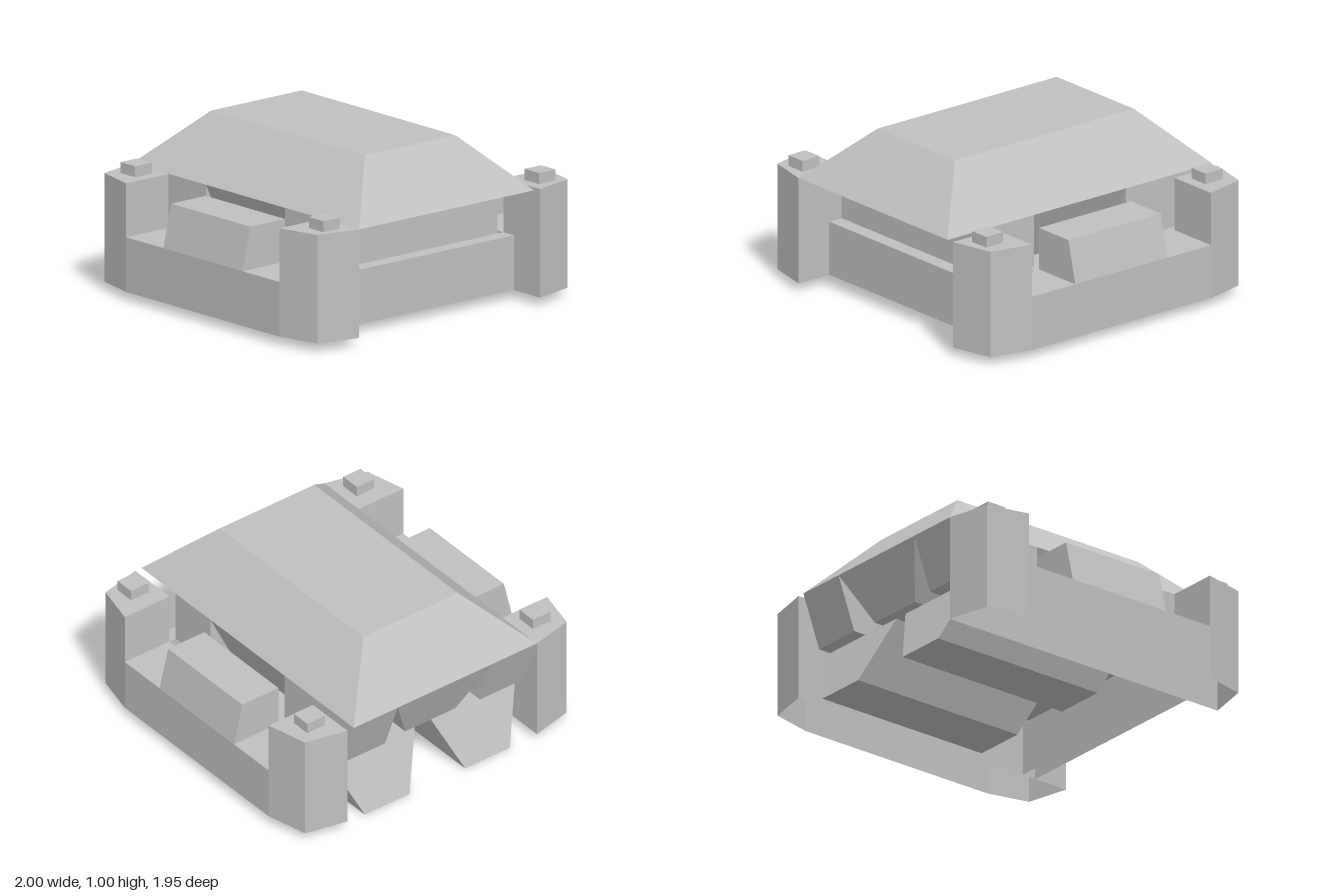
import * as THREE from 'three';

const grey = new THREE.MeshStandardMaterial({ color: 0xc0c0c0, flatShading: true, side: THREE.DoubleSide });
grey.name = 'concreteGrey';

function add(group, name, geometry) {
  const mesh = new THREE.Mesh(geometry, grey);
  mesh.name = name;
  group.add(mesh);
  return mesh;
}

// Tapered block; bottom and top are [x0, x1, z0, z1]
function taper(y0, bottom, y1, top) {
  const g = new THREE.BoxGeometry(1, 1, 1).toNonIndexed();
  const p = g.attributes.position;
  for (let i = 0; i < p.count; i++) {
    const up = p.getY(i) > 0;
    const r = up ? top : bottom;
    p.setXYZ(i, p.getX(i) < 0 ? r[0] : r[1], up ? y1 : y0, p.getZ(i) < 0 ? r[2] : r[3]);
  }
  g.computeVertexNormals();
  return g;
}

// Upright shell with a convex [x, z] outline, closed on top and open below
function shell(outline, y0, y1) {
  let pts = outline.map(([x, z]) => new THREE.Vector2(x, z));
  if (THREE.ShapeUtils.area(pts) > 0) pts = pts.reverse();
  const v = [];
  const n = pts.length;
  for (let i = 0; i < n; i++) {
    const a = pts[i], b = pts[(i + 1) % n];
    v.push(a.x, y0, a.y, b.x, y0, b.y, b.x, y1, b.y);
    v.push(a.x, y0, a.y, b.x, y1, b.y, a.x, y1, a.y);
    if (i > 0 && i < n - 1) v.push(pts[0].x, y1, pts[0].y, a.x, y1, a.y, b.x, y1, b.y);
  }
  const g = new THREE.BufferGeometry();
  g.setAttribute('position', new THREE.Float32BufferAttribute(v, 3));
  g.computeVertexNormals();
  return g;
}

export function createModel() {
  const model = new THREE.Group();
  model.name = 'bunker';

  // Sloped roof
  const rim = [-0.68, 0.635, -0.975, 0.975];
  add(model, 'roof', taper(0.685, rim, 1, [-0.36, 0.32, -0.66, 0.66]));

  // Upper body below the roof: straight front, undercut sides and back
  const low = 0.37, high = 0.685;
  const front = [-0.68, 0.635, 0.34, 0.66];
  add(model, 'frontBody', taper(low, front, high, front));
  add(model, 'middleBody', taper(low, [-0.53, 0.48, -0.34, 0.34], high, [-0.68, 0.635, -0.34, 0.34]));
  add(model, 'rearBody', taper(low, [-0.2, 0.16, -0.84, -0.34], high, [-0.36, 0.32, -0.975, -0.34]));
  add(model, 'rearLeftBody', taper(low, [0.32, 0.635, -0.86, -0.34], high, [0.32, 0.635, -0.975, -0.34]));
  add(model, 'rearRightBody', taper(low, [-0.68, -0.36, -0.86, -0.34], high, [-0.68, -0.36, -0.975, -0.34]));

  // Low front wall
  add(model, 'frontWall', shell([[-0.68, 0.66], [0.68, 0.66], [0.68, 0.75], [-0.68, 0.75]], 0.05, low));

  for (const s of [-1, 1]) {
    const side = s > 0 ? 'left' : 'right';
    const x = (a, b) => (s > 0 ? [a, b] : [-b, -a]);

    // Low side wall with chamfered ends
    const wall = [[0.68, 0.975], [0.94, 0.915], [1, 0.66], [1, -0.66], [0.94, -0.915], [0.68, -0.975]];
    add(model, side + 'Wall', shell(wall.map(([a, z]) => [a * s, z]), 0.05, low));

    // Sloped block on the wall
    add(model, side + 'WallBlock',
      taper(low, [...x(0.68, 1), -0.34, 0.34], 0.62, [...x(0.68, 0.94), -0.34, 0.34]));

    // Corner towers with a small stud on each
    for (const e of [-1, 1]) {
      const corner = (e > 0 ? 'front' : 'rear') + (s > 0 ? 'Left' : 'Right');
      const tower = [[0.68, 0.975], [0.94, 0.915], [1, 0.66], [0.68, 0.66]];
      add(model, corner + 'Tower', shell(tower.map(([a, z]) => [a * s, z * e]), low, high));
      const stud = add(model, corner + 'Stud', new THREE.BoxGeometry(0.125, 0.065, 0.125));
      stud.position.set(s * 0.81, 0.717, e > 0 ? 0.827 : -0.79);
    }

    // Slanted runner under the body
    add(model, side + 'Runner',
      taper(0, [...x(0.2, 0.52), -0.93, 0.23], low, [...x(0.04, 0.68), -0.78, 0.38]));
  }
  return model;
}
